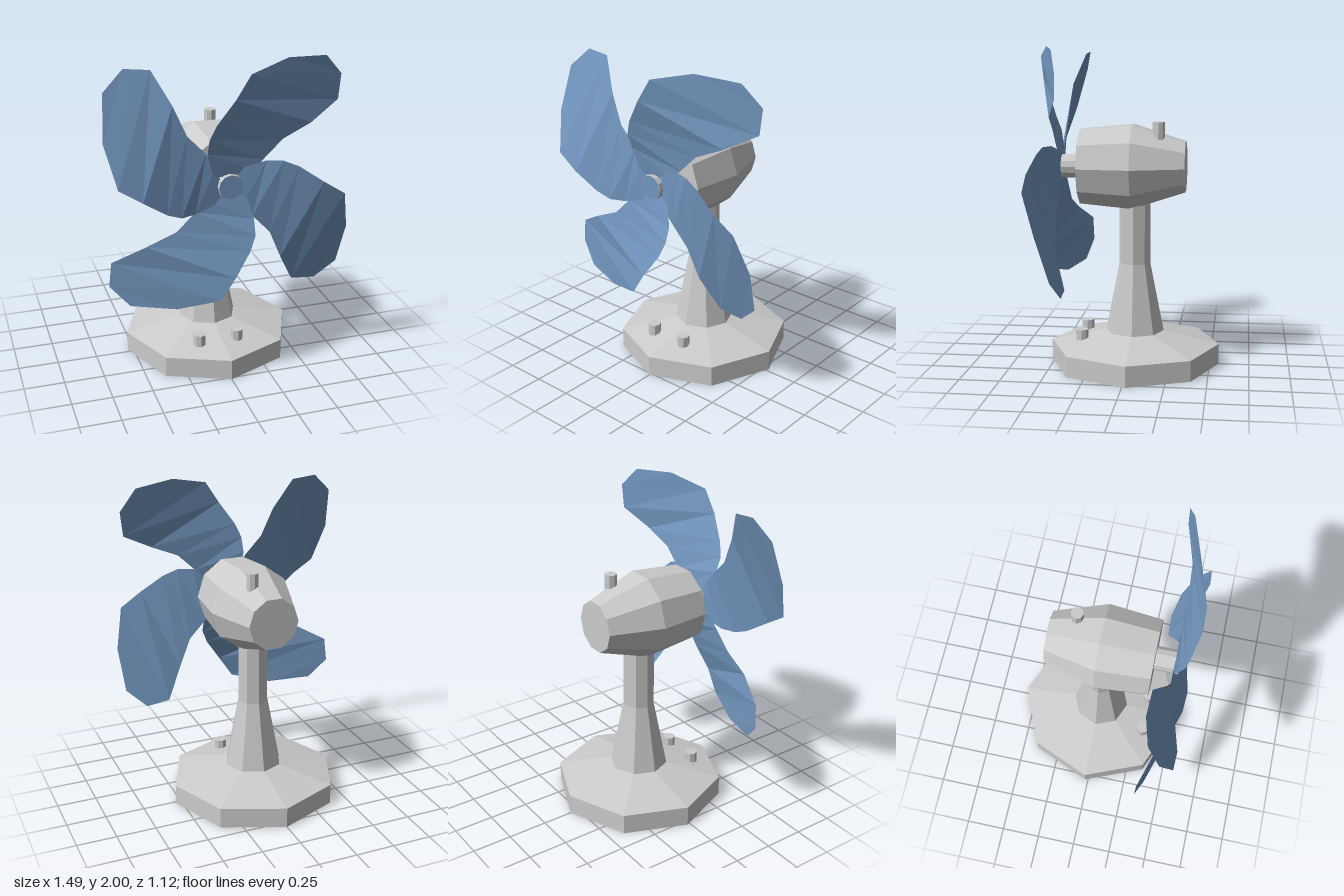
import * as THREE from 'three';

const grey = new THREE.MeshStandardMaterial({ color: 0xcccccc, flatShading: true, side: THREE.DoubleSide });
const blue = new THREE.MeshStandardMaterial({ color: 0x7397c0, flatShading: true, side: THREE.DoubleSide });

const AXIS_Y = 1.26; // height of the motor axis
const BASE_Z = -0.02; // centre of the stand

function add(parent, name, geometry, material, x = 0, y = 0, z = 0) {
  const mesh = new THREE.Mesh(geometry, material);
  mesh.name = name;
  mesh.position.set(x, y, z);
  parent.add(mesh);
  return mesh;
}

// Faceted solid of revolution from [radius, height] pairs
function turned(profile, sides) {
  const g = new THREE.LatheGeometry(profile.map(([r, h]) => new THREE.Vector2(r, h)), sides).toNonIndexed();
  g.computeVertexNormals();
  return g;
}

// One twisted blade: cross-sections running from leading edge to trailing edge
function bladeGeometry() {
  const sections = [
    [[-0.1, 0.058, 0.44], [0.08, 0.06, 0.44]],
    [[-0.143, 0.215, 0.47], [0.138, 0.08, 0.44]],
    [[-0.143, 0.308, 0.505], [0.207, 0.143, 0.44]],
    [[-0.106, 0.398, 0.525], [0.324, 0.255, 0.44]],
    [[-0.005, 0.546, 0.557], [0.504, 0.334, 0.425]],
    [[0.085, 0.684, 0.552], [0.7, 0.44, 0.355]],
    [[0.334, 0.743, 0.47], [0.716, 0.594, 0.35]],
    [[0.6, 0.72, 0.39], [0.716, 0.594, 0.35]],
  ];
  const positions = [];
  for (let i = 0; i < sections.length - 1; i++) {
    const [l0, t0] = sections[i];
    const [l1, t1] = sections[i + 1];
    positions.push(...l0, ...t0, ...t1);
    positions.push(...l0, ...t1, ...l1);
  }
  const g = new THREE.BufferGeometry();
  g.setAttribute('position', new THREE.Float32BufferAttribute(positions, 3));
  g.computeVertexNormals();
  return g;
}

export function createModel() {
  const model = new THREE.Group();
  model.name = 'deskFan';

  // Hollow octagonal base and flared neck
  const stand = new THREE.Group();
  stand.name = 'stand';
  stand.position.z = BASE_Z;
  model.add(stand);
  add(stand, 'base', turned([[0.538, 0], [0.538, 0.13], [0.185, 0.21]], 8), grey);
  add(stand, 'neck', turned([[0.185, 0.21], [0.098, 0.65], [0.098, 1.04]], 8), grey);

  // Two buttons on the base, passing through its shell
  for (const x of [-0.145, 0.1]) {
    add(model, 'baseButton', new THREE.CylinderGeometry(0.04, 0.04, 0.14, 8), grey, x, 0.16, 0.305);
  }

  // Ten-sided motor housing, closed at both ends
  const housing = turned([[0, -0.34], [0.16, -0.34], [0.268, -0.01], [0.238, 0.32], [0, 0.32]], 10);
  housing.rotateY(Math.PI / 2).rotateX(Math.PI / 2);
  add(model, 'motorHousing', housing, grey, 0, AXIS_Y + 0.003, 0).scale.y = 1.02;
  add(model, 'swingKnob', new THREE.CylinderGeometry(0.039, 0.039, 0.15, 8), grey, 0.07, 1.47, -0.175);

  // Spinning parts: shaft, coloured cap and four blades
  const rotor = new THREE.Group();
  rotor.name = 'rotor';
  rotor.position.y = AXIS_Y;
  model.add(rotor);
  const shaft = new THREE.CylinderGeometry(0.074, 0.074, 0.16, 12).rotateX(Math.PI / 2);
  add(rotor, 'shaft', shaft, grey, 0, 0, 0.39);
  add(rotor, 'hubCap', new THREE.CircleGeometry(0.074, 12), blue, 0, 0, 0.473);
  const blade = bladeGeometry();
  for (let i = 0; i < 4; i++) {
    add(rotor, 'blade', blade, blue).rotation.z = (i * Math.PI) / 2;
  }
  return model;
}
